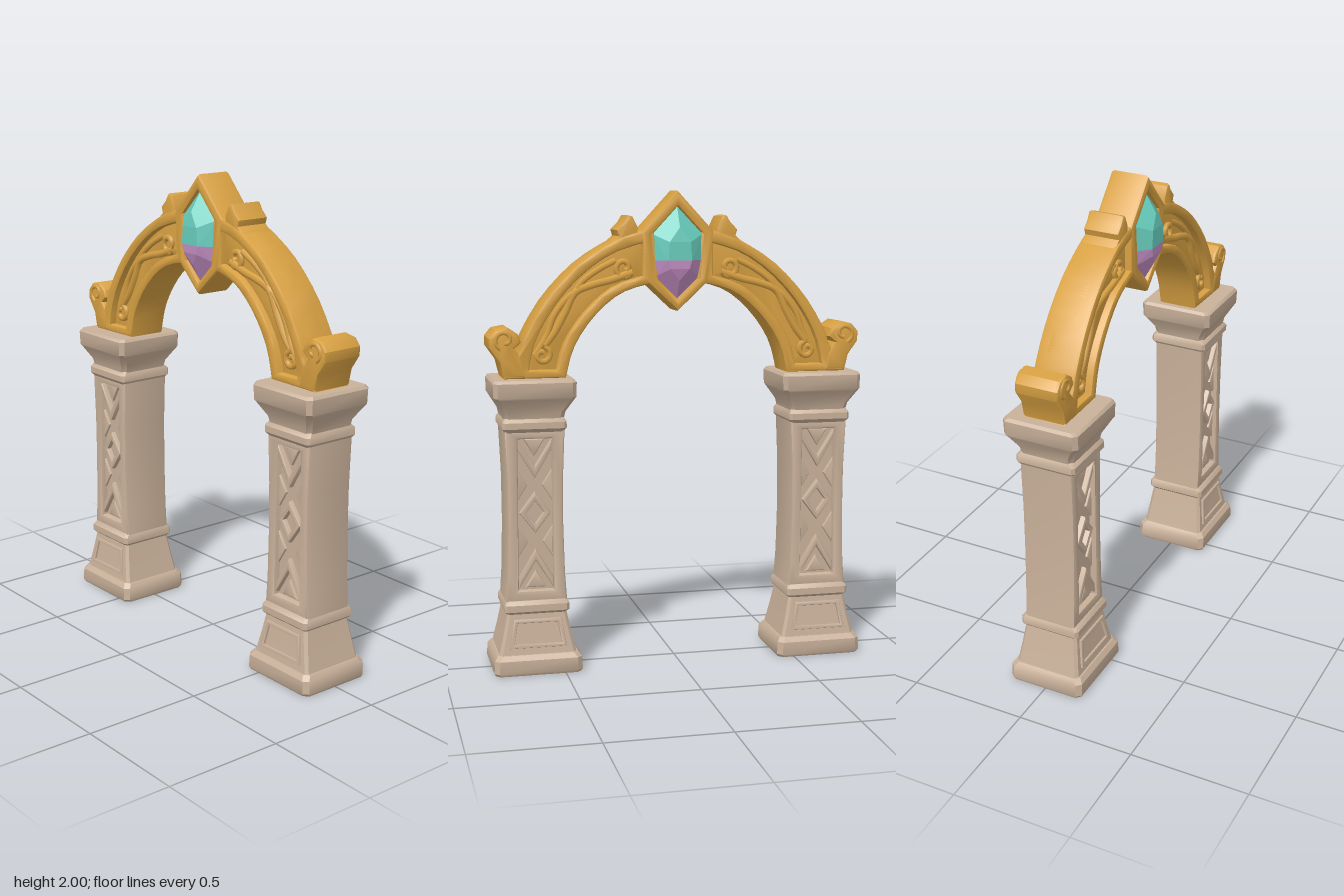
import * as THREE from 'three';
import { toCreasedNormals } from 'three/addons/utils/BufferGeometryUtils.js';
import { ConvexGeometry } from 'three/addons/geometries/ConvexGeometry.js';

const material = (name, color) => {
  const m = new THREE.MeshStandardMaterial({ color });
  m.name = name;
  return m;
};
const stone = material('stone', 0xc9b19a);
const gold = material('gold', 0xd7a042);
const teal = material('teal crystal', 0x68cdbd);
const violet = material('violet crystal', 0xc590c6);

function add(parent, name, geometry, mat) {
  const mesh = new THREE.Mesh(geometry, mat);
  mesh.name = name;
  parent.add(mesh);
  return mesh;
}

const vectors = (points, side = 1) => points.map(([x, y]) => new THREE.Vector2(x * side, y));
const smooth = (points, n) => new THREE.SplineCurve(vectors(points)).getPoints(n).map(p => [p.x, p.y]);

// Bevelled plate centred on z = 0, keeping its outline size
function plate(outline, depth, { hole, bevel = 0.01, side = 1 } = {}) {
  const shape = new THREE.Shape(vectors(outline, side));
  if (hole) shape.holes.push(new THREE.Path(vectors(hole, side)));
  const geo = new THREE.ExtrudeGeometry(shape, {
    depth: depth - 2 * bevel, bevelEnabled: true, bevelThickness: bevel,
    bevelSize: bevel, bevelOffset: -bevel, bevelSegments: 2,
  });
  geo.translate(0, 0, bevel - depth / 2);
  return toCreasedNormals(geo, 0.65);
}

// Stacked rectangles with clipped corners; each level is [y, halfWidth, halfDepth]
function loft(levels, c = 0.012) {
  const pos = [], index = [];
  for (const [y, w, d] of levels) {
    for (const [x, z] of [[w, d - c], [w - c, d], [c - w, d], [-w, d - c],
      [-w, c - d], [c - w, -d], [w - c, -d], [w, c - d]]) pos.push(x, y, z);
  }
  const top = (levels.length - 1) * 8;
  for (let r = 0; r < top; r += 8) {
    for (let i = 0; i < 8; i++) {
      const a = r + i, b = r + (i + 1) % 8;
      index.push(a, a + 8, b, b, a + 8, b + 8);
    }
  }
  for (let i = 1; i < 7; i++) index.push(0, i, i + 1, top, top + i + 1, top + i);
  const geo = new THREE.BufferGeometry();
  geo.setAttribute('position', new THREE.Float32BufferAttribute(pos, 3));
  geo.setIndex(index);
  return toCreasedNormals(geo, 0.6);
}

function tube(points, z, radius, side) {
  const curve = new THREE.CatmullRomCurve3(points.map(([x, y]) => new THREE.Vector3(x * side, y, z)));
  return new THREE.TubeGeometry(curve, points.length * 4, radius, 6);
}

// Points of a tightening curl
function curl(x, y, radius, start, turn) {
  return Array.from({ length: 9 }, (_, i) => {
    const a = start + turn * i / 8, r = radius * (1 - 0.08 * i);
    return [x + r * Math.cos(a), y + r * Math.sin(a)];
  });
}

function createPillar() {
  const pillar = new THREE.Group();
  add(pillar, 'plinth', loft([[0, 0.18, 0.16], [0.012, 0.186, 0.167], [0.065, 0.183, 0.165], [0.085, 0.168, 0.15]], 0.02), stone);
  add(pillar, 'pedestal', loft([[0.08, 0.163, 0.143], [0.17, 0.142, 0.13], [0.26, 0.124, 0.118]]), stone);
  add(pillar, 'lowerRing', loft([[0.25, 0.122, 0.115], [0.265, 0.136, 0.132], [0.293, 0.136, 0.132], [0.31, 0.125, 0.118]]), stone);
  add(pillar, 'upperRing', loft([[1.018, 0.122, 0.115], [1.034, 0.133, 0.13], [1.06, 0.133, 0.13], [1.078, 0.122, 0.115]]), stone);
  add(pillar, 'capital', loft([[1.06, 0.122, 0.115], [1.10, 0.13, 0.123], [1.155, 0.164, 0.155],
    [1.165, 0.17, 0.162], [1.225, 0.172, 0.164], [1.237, 0.163, 0.154]], 0.018), stone);

  // Shaft with pinched waist and sunken panels on front and back
  const edge = [[0.129, 0.3], [0.121, 0.42], [0.116, 0.62], [0.117, 0.82], [0.126, 1.03]];
  const outline = [...edge, ...edge.map(([x, y]) => [-x, y]).reverse()];
  const hole = [[-0.074, 0.35], [0.074, 0.35], [0.07, 0.99], [-0.07, 0.99]];
  add(pillar, 'shaft', plate(outline, 0.23, { hole, bevel: 0.012 }), stone);
  add(pillar, 'panel', new THREE.BoxGeometry(0.18, 0.68, 0.17).translate(0, 0.67, 0), stone);

  // Raised ornaments pass through the core so they show on both faces
  const rhombus = (w, h) => [[0, 0.68 - h], [w, 0.68], [0, 0.68 + h], [-w, 0.68]];
  add(pillar, 'diamond', plate(rhombus(0.066, 0.088), 0.215, { hole: rhombus(0.036, 0.048), bevel: 0.008 }), stone);
  for (const s of [-1, 1]) {
    const at = ([x, y]) => [x, 0.675 + s * y];
    add(pillar, 'chevron', plate([[-0.072, 0.27], [0, 0.15], [0.072, 0.27], [0.072, 0.315], [0, 0.2], [-0.072, 0.315]].map(at), 0.215, { bevel: 0.008 }), stone);
    add(pillar, 'wedge', plate([[-0.045, 0.315], [0, 0.24], [0.045, 0.315]].map(at), 0.195, { bevel: 0.008 }), stone);
    for (const m of [-1, 1]) {
      add(pillar, 'sideWedge', plate([[0.074 * m, 0.05], [0.03 * m, 0.12], [0.074 * m, 0.19]].map(at), 0.19, { bevel: 0.006 }), stone);
    }
    // Sloping pedestal frame
    const frame = plate([[-0.12, -0.058], [0.12, -0.058], [0.1, 0.062], [-0.1, 0.062]], 0.02,
      { hole: [[-0.1, -0.042], [0.1, -0.042], [0.084, 0.046], [-0.084, 0.046]], bevel: 0.005 });
    const mesh = add(pillar, 'pedestalFrame', frame, stone);
    mesh.position.set(0, 0.17, s * 0.13);
    mesh.rotation.x = -s * 0.14;
  }
  return pillar;
}

function createArchHalf(side) {
  const half = new THREE.Group();
  // Curved band with raised rims
  const outer = smooth([[0.66, 1.36], [0.64, 1.42], [0.55, 1.565], [0.42, 1.7], [0.28, 1.79], [0.18, 1.83], [0.1, 1.84]], 16);
  const inner = smooth([[0.08, 1.61], [0.13, 1.615], [0.25, 1.575], [0.36, 1.48], [0.44, 1.36], [0.475, 1.236]], 14);
  const outline = [[0.735, 1.236], ...outer, ...inner];
  const hole = [
    ...smooth([[0.15, 1.785], [0.28, 1.742], [0.41, 1.652], [0.52, 1.53], [0.6, 1.39], [0.63, 1.27]], 12),
    ...smooth([[0.515, 1.27], [0.482, 1.38], [0.4, 1.5], [0.28, 1.605], [0.15, 1.65]], 12),
  ];
  // Band grows slightly thinner toward the crown
  const taper = geo => {
    const p = geo.attributes.position;
    for (let i = 0; i < p.count; i++) p.setZ(i, p.getZ(i) * (0.84 + 0.16 * Math.min(1, Math.abs(p.getX(i)) / 0.65)));
    return geo;
  };
  add(half, 'archRim', taper(plate(outline, 0.185, { hole, bevel: 0.012, side })), gold);
  add(half, 'archPanel', taper(plate(outline, 0.12, { bevel: 0.014, side })), gold);

  // Scroll at the foot and leaf near the crown
  const foot = [[0.64, 1.24], [0.735, 1.24], [0.75, 1.305], [0.792, 1.365], [0.793, 1.405], [0.765, 1.438],
    [0.715, 1.447], [0.672, 1.42], [0.66, 1.385], [0.69, 1.36], [0.655, 1.32]];
  add(half, 'footScroll', plate(foot, 0.19, { bevel: 0.014, side }), gold);
  const leaf = [[0.165, 1.78], [0.168, 1.85], [0.19, 1.895], [0.21, 1.9], [0.228, 1.87], [0.258, 1.84], [0.25, 1.815], [0.285, 1.785], [0.25, 1.76]];
  add(half, 'crownLeaf', plate(leaf, 0.155, { bevel: 0.012, side }), gold);

  // Vine reliefs on both faces
  const stem = [[0.56, 1.37], [0.52, 1.42], [0.475, 1.5], [0.43, 1.585], [0.36, 1.615], [0.28, 1.635], [0.19, 1.665]];
  const branch = [[0.4, 1.6], [0.455, 1.57], [0.52, 1.49], [0.55, 1.41], [0.6, 1.33]];
  const leafVine = [[0.43, 1.59], [0.4, 1.63], [0.33, 1.68], [0.26, 1.715]];
  for (const z of [-1, 1]) {
    add(half, 'vineStem', tube(stem, z * 0.058, 0.017, side), gold);
    add(half, 'vineBranch', tube(branch, z * 0.058, 0.014, side), gold);
    add(half, 'vineLeaf', tube(leafVine, z * 0.056, 0.014, side), gold);
    add(half, 'upperCurl', tube(curl(0.225, 1.685, 0.042, -2.4, 6.5), z * 0.058, 0.013, side), gold);
    add(half, 'lowerCurl', tube(curl(0.57, 1.33, 0.037, 1.8, 6.5), z * 0.062, 0.013, side), gold);
    add(half, 'footCurl', tube(curl(0.728, 1.398, 0.042, -1.2, 6), z * 0.091, 0.01, side), gold);
  }
  return half;
}

function createKeystone() {
  const keystone = new THREE.Group();
  const outline = [[0, 1.503], [0.13, 1.625], [0.157, 1.83], [0, 2], [-0.157, 1.83], [-0.13, 1.625]];
  const hole = [[0, 1.555], [0.092, 1.645], [0.108, 1.82], [0, 1.935], [-0.108, 1.82], [-0.092, 1.645]];
  add(keystone, 'gemFrame', plate(outline, 0.17, { hole, bevel: 0.016 }), gold);

  // Two-tone faceted crystal, mirrored in x and z
  const crystal = points => new ConvexGeometry(points.flatMap(([x, y, z]) =>
    (x ? [-x, x] : [0]).flatMap(px => [-z, z].map(pz => new THREE.Vector3(px, y, pz)))));
  const split = [[0.108, 1.715, 0.07], [0.05, 1.715, 0.124]];
  add(keystone, 'upperCrystal', crystal([...split, [0, 1.94, 0.06], [0.112, 1.825, 0.065], [0.045, 1.79, 0.124], [0, 1.85, 0.115]]), teal);
  add(keystone, 'lowerCrystal', crystal([...split, [0, 1.55, 0.06], [0.097, 1.645, 0.065], [0.04, 1.68, 0.122], [0, 1.63, 0.105]]), violet);
  return keystone;
}

export function createModel() {
  const model = new THREE.Group();
  model.name = 'archway';
  for (const [name, side] of [['left', 1], ['right', -1]]) {
    const pillar = createPillar();
    pillar.name = name + 'Pillar';
    pillar.position.x = side * 0.613;
    const arch = createArchHalf(side);
    arch.name = name + 'Arch';
    model.add(pillar, arch);
  }
  const keystone = createKeystone();
  keystone.name = 'keystone';
  model.add(keystone);
  return model;
}
